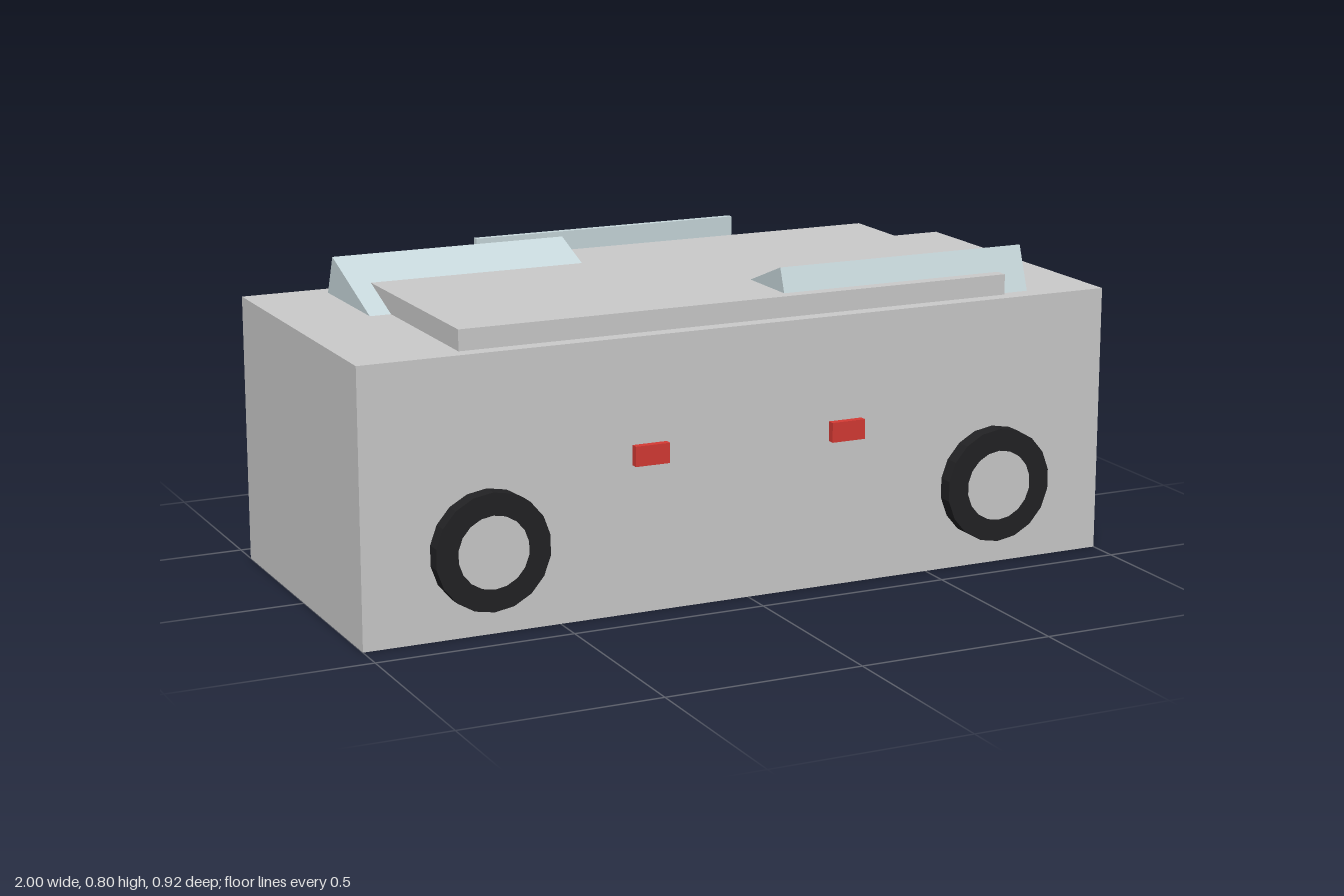
import * as THREE from 'three';

const paint = (color) => new THREE.MeshStandardMaterial({ color, flatShading: true });
const GREY = paint(0xcccccc);
const GLASS = paint(0xc8d8dc);
const BLACK = paint(0x222224);
const RED = paint(0xd63a34);
const WHITE = paint(0xe6e6ee);

export function createModel() {
  const model = new THREE.Group();

  const add = (name, geometry, material, x = 0, y = 0, z = 0) => {
    const mesh = new THREE.Mesh(geometry, material);
    mesh.name = name;
    mesh.position.set(x, y, z);
    model.add(mesh);
    return mesh;
  };

  // Box given by its limits on each axis
  const box = (name, material, [x0, x1], [y0, y1], [z0, z1]) =>
    add(name, new THREE.BoxGeometry(x1 - x0, y1 - y0, z1 - z0), material,
      (x0 + x1) / 2, (y0 + y1) / 2, (z0 + z1) / 2);

  // Triangular prism along x, from [z, y] corners
  const wedge = (name, corners, x0, x1) => {
    const shape = new THREE.Shape(corners.map(([z, y]) => new THREE.Vector2(-z, y)));
    const geometry = new THREE.ExtrudeGeometry(shape, { depth: x1 - x0, bevelEnabled: false });
    geometry.rotateY(Math.PI / 2);
    add(name, geometry, GLASS, x0, 0, 0);
  };

  // Body and roof plate
  box('body', GREY, [-1, 1], [0, 0.683], [-0.418, 0.418]);
  box('roofPlate', GREY, [-0.735, 0.735], [0.683, 0.735], [-0.38, 0.38]);

  // Sloping roof wedges, partly sunk into the plate
  wedge('frontRoofWedge', [[0.365, 0.683], [0.325, 0.795], [0.025, 0.683]], 0.13, 0.81);
  wedge('backRoofWedge', [[-0.37, 0.683], [-0.33, 0.782], [-0.065, 0.683]], -0.79, -0.165);

  // Upright panel at the back
  box('backPanel', GLASS, [-0.367, 0.367], [0.54, 0.777], [-0.435, -0.418]);
  box('numberBar', BLACK, [-0.21, 0.21], [0.27, 0.367], [-0.429, -0.418]);

  for (const side of [-1, 1]) {
    const span = (centre, width) => [side * centre - width / 2, side * centre + width / 2];
    box('frontLight', RED, span(0.265, 0.09), [0.37, 0.42], [0.41, 0.437]);
    box('backLight', WHITE, span(0.265, 0.095), [0.39, 0.452], [-0.435, -0.41]);
    box('backSlot', BLACK, span(0.16, 0.06), [0.465, 0.482], [-0.429, -0.418]);
    box('panelCatch', BLACK, span(0.322, 0.05), [0.555, 0.605], [-0.44, -0.42]);

    // Wheels with a grey hub on the outer face
    for (const end of [-1, 1]) {
      const wheel = new THREE.CylinderGeometry(0.146, 0.146, 0.06, 18).rotateX(Math.PI / 2);
      add('wheel', wheel, BLACK, side * 0.685, 0.212, end * 0.428);
      const hub = new THREE.CylinderGeometry(0.09, 0.09, 0.02, 18).rotateX(Math.PI / 2);
      add('hub', hub, GREY, side * 0.685, 0.212, end * 0.449);
    }
  }
  return model;
}
